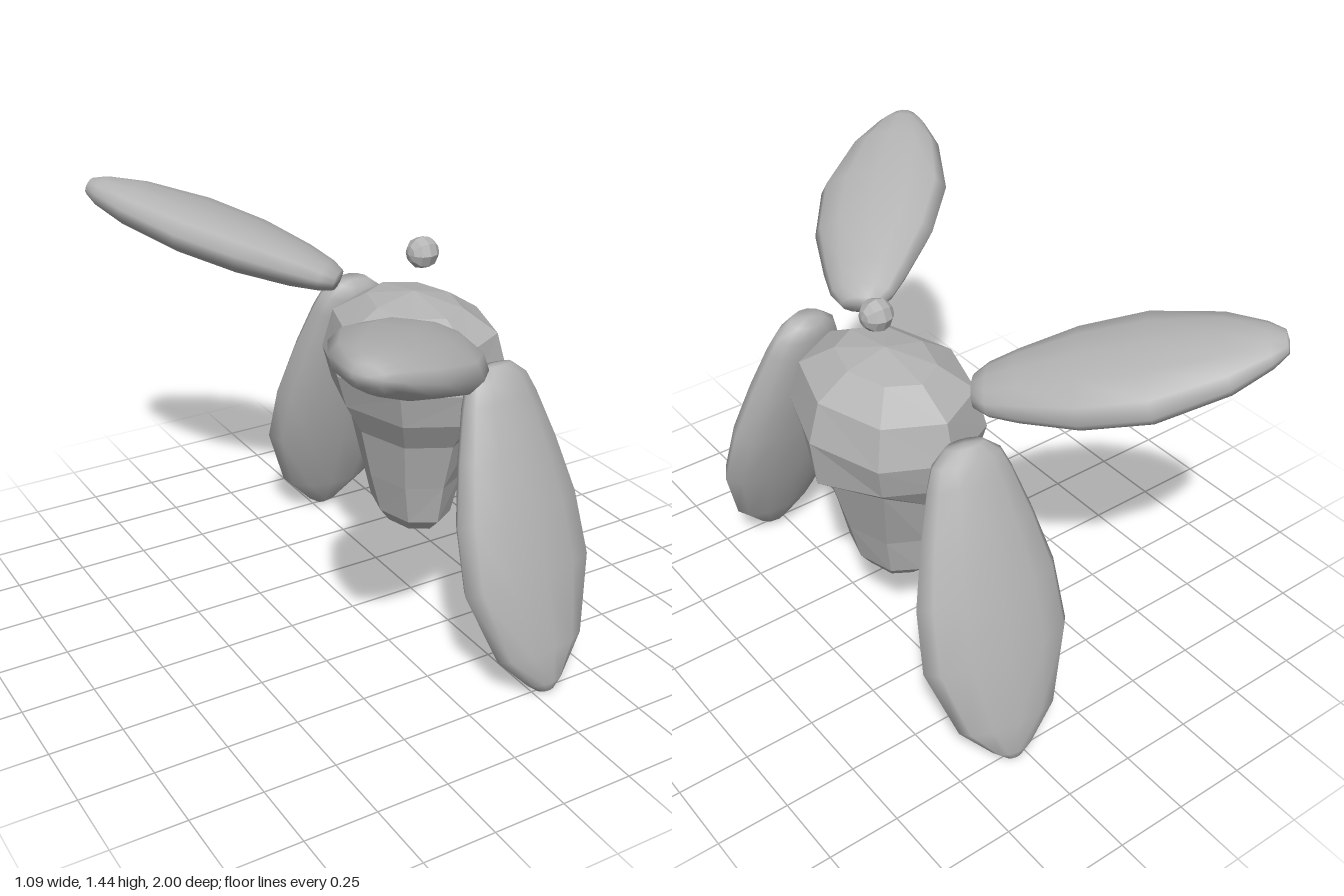
import * as THREE from 'three';

const TAU = Math.PI * 2;

// Lofted closed shell along +y. Rings are [y, halfX, halfZ, offsetX].
function loft(rings, sides, startY, endY, adjust) {
  const pos = [], idx = [];
  rings.forEach(([y, rx, rz, off = 0], i) => {
    for (let j = 0; j < sides; j++) {
      const a = (j / sides) * TAU;
      const p = new THREE.Vector3(off + rx * Math.sin(a), y, rz * Math.cos(a));
      if (adjust) adjust(p, i, j);
      pos.push(p.x, p.y, p.z);
    }
  });
  const n = rings.length, start = n * sides, end = start + 1;
  pos.push(rings[0][3] || 0, startY, 0, rings[n - 1][3] || 0, endY, 0);
  for (let j = 0; j < sides; j++) {
    const k = (j + 1) % sides;
    // Mirror the diagonals between front and back
    const front = j < sides / 4 || j >= sides * 0.75;
    for (let i = 0; i < n - 1; i++) {
      const a = i * sides, b = a + sides;
      if (front) idx.push(a + j, a + k, b + k, a + j, b + k, b + j);
      else idx.push(a + j, a + k, b + j, a + k, b + k, b + j);
    }
    idx.push(start, k, j, end, (n - 1) * sides + j, (n - 1) * sides + k);
  }
  const g = new THREE.BufferGeometry();
  g.setAttribute('position', new THREE.Float32BufferAttribute(pos, 3));
  g.setIndex(idx);
  g.computeVertexNormals();
  return g;
}

// Faceted shading through split normals
function faceted(g) {
  const flat = g.toNonIndexed();
  flat.computeVertexNormals();
  return flat;
}

// Leaf-shaped pod from root to tip; widthDir spans its broad side
function pod(name, root, tip, widthDir, profile, bow, material) {
  const axis = tip.clone().sub(root), len = axis.length();
  axis.normalize();
  const z = widthDir.clone().cross(axis).normalize();
  const x = axis.clone().cross(z).normalize();
  const rings = profile.map(([t, w, d]) => [t * len, w, d, bow * Math.sin(Math.PI * t)]);
  const mesh = new THREE.Mesh(loft(rings, 12, -0.005, len + 0.006), material);
  mesh.name = name;
  mesh.quaternion.setFromRotationMatrix(new THREE.Matrix4().makeBasis(x, axis, z));
  mesh.position.copy(root);
  return mesh;
}

export function createModel() {
  const group = new THREE.Group();
  group.name = 'wingedCreature';
  const grey = new THREE.MeshStandardMaterial({ color: 0xb4b4b4 });
  grey.name = 'grey';

  // Eight-sided tapering body, with a brow ledge on its left side
  const bodyRings = [
    [0.32, 0.088, 0.13], [0.37, 0.125, 0.18], [0.52, 0.165, 0.21], [0.70, 0.205, 0.26],
    [0.81, 0.265, 0.335], [0.93, 0.30, 0.365], [1.07, 0.26, 0.33], [1.145, 0.145, 0.20],
  ];
  const brow = (p, i, j) => {
    if (i === 4 && j === 2) p.set(0.28, 0.76, 0);
    if (i === 3 && j === 2) p.set(0.225, 0.73, 0);
    if (i === 3 && (j === 1 || j === 3)) p.set(0.17, 0.785, Math.sign(p.z) * 0.22);
  };
  const body = new THREE.Mesh(faceted(loft(bodyRings, 8, 0.32, 1.18, brow)), grey);
  body.name = 'body';
  body.position.x = 0.24;
  group.add(body);

  // Small faceted bead floating above the body
  const bead = new THREE.Mesh(faceted(new THREE.SphereGeometry(0.056, 8, 6)), grey);
  bead.name = 'bead';
  bead.rotation.z = Math.PI / 2;
  bead.position.set(0.27, 1.31, 0);
  group.add(bead);

  // Profiles: [fraction along length, half width, half thickness]
  const lowerProfile = [
    [0, 0.065, 0.044], [0.04, 0.12, 0.062], [0.10, 0.148, 0.074], [0.25, 0.20, 0.09],
    [0.43, 0.25, 0.099], [0.63, 0.264, 0.099], [0.86, 0.178, 0.081], [0.97, 0.07, 0.049],
    [1, 0.03, 0.026],
  ];
  const upperProfile = [
    [0, 0.07, 0.037], [0.05, 0.112, 0.054], [0.15, 0.15, 0.073], [0.35, 0.213, 0.092],
    [0.58, 0.232, 0.094], [0.82, 0.165, 0.077], [0.95, 0.088, 0.053], [1, 0.045, 0.03],
  ];

  // Mirrored front and back pairs, each slightly twisted about its length
  for (const [side, s] of [['front', 1], ['back', -1]]) {
    group.add(pod(side + 'LowerWing',
      new THREE.Vector3(0.26, 1.07, 0.442 * s), new THREE.Vector3(0.295, 0.008, 0.764 * s),
      new THREE.Vector3(1, 0, -0.12 * s), lowerProfile, 0, grey));
    group.add(pod(side + 'UpperWing',
      new THREE.Vector3(0.125, 1.138, 0.315 * s), new THREE.Vector3(-0.52, 1.407, 0.965 * s),
      new THREE.Vector3(0.7, -0.16, 0.7 * s), upperProfile, 0.014, grey));
  }
  return group;
}
